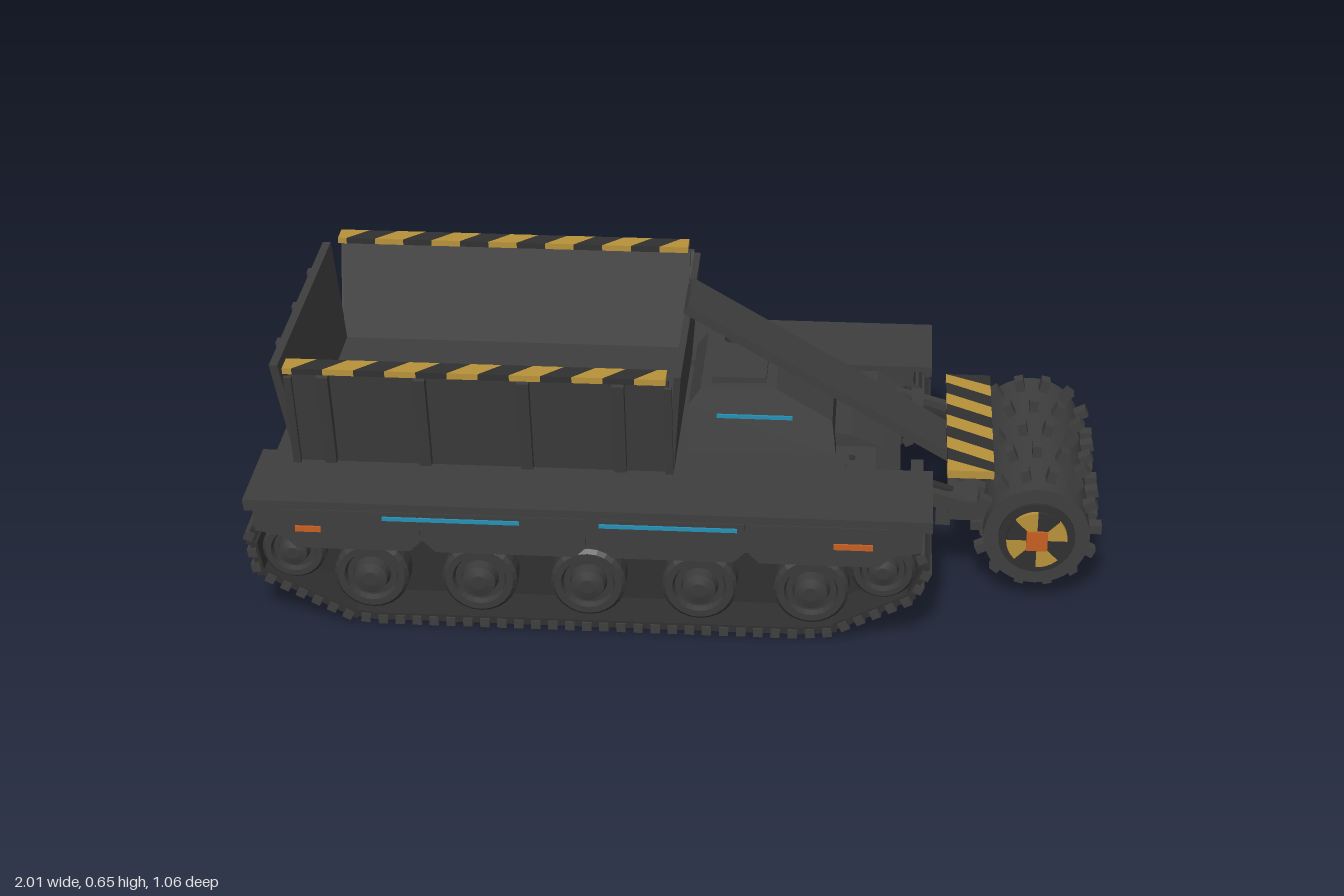
import * as THREE from 'three';

const mat = (name, color, extra = {}) => Object.assign(new THREE.MeshStandardMaterial({ color, ...extra }), { name });

export function createModel() {
  const model = new THREE.Group();
  model.name = 'trackedHauler';
  const body = mat('charcoal body', 0x3e3e3e), dark = mat('dark steel', 0x303030);
  const yellow = mat('hazard yellow', 0xb8923a), orange = mat('orange lights', 0xc85f22);
  const cyan = mat('cyan strips', 0x2590b5);

  const add = (name, geo, material, x = 0, y = 0, z = 0, parent = model) => {
    const m = new THREE.Mesh(geo, material);
    m.name = name;
    m.position.set(x, y, z);
    parent.add(m);
    return m;
  };
  const box = (name, material, w, h, d, x, y, z, parent) =>
    add(name, new THREE.BoxGeometry(w, h, d), material, x, y, z, parent);
  const shapeOf = pts => new THREE.Shape(pts.map(p => new THREE.Vector2(...p)));
  // side profile in x/y, extruded symmetrically about z = 0
  const extrude = (pts, depth) =>
    new THREE.ExtrudeGeometry(shapeOf(pts), { depth, bevelEnabled: false }).translate(0, 0, -depth / 2);
  // move every vertex by a rule
  const warp = (geo, rule) => {
    const p = geo.attributes.position, v = new THREE.Vector3();
    for (let i = 0; i < p.count; i++) {
      rule(v.fromBufferAttribute(p, i));
      p.setXYZ(i, v.x, v.y, v.z);
    }
    geo.computeVertexNormals();
    return geo;
  };
  // bar of alternating slanted stripes, lying flat with its length along x
  const hazardBar = (name, length, width, thick, count, skew) => {
    const g = new THREE.Group();
    g.name = name;
    const clamp = x => Math.max(-length / 2, Math.min(length / 2, x));
    const step = (length + skew) / count;
    for (let i = 0; i < count; i++) {
      const a = -length / 2 - skew / 2 + i * step, b = a + step, k = skew / 2, w = width / 2;
      const geo = extrude([[clamp(a - k), -w], [clamp(b - k), -w], [clamp(b + k), w], [clamp(a + k), w]], thick);
      add('stripe', geo.rotateX(-Math.PI / 2), i % 2 ? dark : yellow, 0, 0, 0, g);
    }
    model.add(g);
    return g;
  };

  // Hull between the tracks
  add('hull', extrude([[-0.95, 0.315], [-0.95, 0.2], [-0.84, 0.1], [0.38, 0.1], [0.52, 0.2], [0.52, 0.28], [0.46, 0.315]], 0.58), body);
  box('rearPlate', body, 0.03, 0.08, 0.5, -0.96, 0.26, 0);

  // Track loop and wheel outlines
  const corners = [[-0.95, 0.27], [-0.985, 0.22], [-0.97, 0.13], [-0.76, 0.025], [-0.7, 0.018], [0.3, 0.018],
    [0.36, 0.025], [0.55, 0.12], [0.58, 0.19], [0.55, 0.26], [0.48, 0.275], [-0.9, 0.275]];
  const path = new THREE.CurvePath();
  corners.forEach((c, i) => path.add(new THREE.LineCurve(new THREE.Vector2(...c),
    new THREE.Vector2(...corners[(i + 1) % corners.length]))));
  const links = 84, pitch = path.getLength() / links;
  const linkGeo = new THREE.BoxGeometry(pitch * 1.15, 0.018, 0.2);
  const cleatGeo = new THREE.BoxGeometry(pitch * 0.55, 0.022, 0.21);
  const wheelGeo = r => new THREE.LatheGeometry([[0, 0], [r, 0], [r, 0.12], [r * 0.9, 0.13], [r * 0.72, 0.13],
    [r * 0.66, 0.115], [r * 0.5, 0.115], [r * 0.44, 0.14], [r * 0.2, 0.145], [0, 0.145]]
    .map(p => new THREE.Vector2(...p)), 24);
  const roadWheel = wheelGeo(0.088), endWheel = wheelGeo(0.075);
  [roadWheel, endWheel].forEach((g, i) => { g.name = i ? 'end wheel' : 'road wheel'; });
  const wheelMat = mat('wheel steel', 0x3a3a3a, { flatShading: true });

  for (const s of [1, -1]) {
    const track = new THREE.Group();
    track.name = s > 0 ? 'leftTrack' : 'rightTrack';
    model.add(track);
    for (let i = 0; i < links; i++) {
      const u = (i + 0.5) / links, p = path.getPointAt(u), t = path.getTangentAt(u);
      const a = Math.atan2(t.y, t.x);
      add('trackLink', linkGeo, dark, p.x, p.y, s * 0.4, track).rotation.z = a;
      // cleats stand on the outside of the loop
      add('trackCleat', cleatGeo, body, p.x + t.y * 0.007, p.y - t.x * 0.007, s * 0.4, track).rotation.z = a;
    }
    add('trackFrame', extrude([[-0.93, 0.26], [-0.94, 0.15], [-0.74, 0.05], [0.34, 0.05], [0.53, 0.14], [0.53, 0.26]], 0.13),
      dark, 0, 0, s * 0.365, track);
    for (const x of [-0.71, -0.455, -0.2, 0.06, 0.32])
      add('roadWheel', roadWheel, wheelMat, x, 0.12, s * 0.36, track).rotation.x = s * Math.PI / 2;
    for (const x of [-0.89, 0.485])
      add('endWheel', endWheel, wheelMat, x, 0.182, s * 0.36, track).rotation.x = s * Math.PI / 2;

    // Fender with skirt panels and drop-down ends
    box('fender', body, 1.59, 0.014, 0.25, -0.2, 0.325, s * 0.4);
    box('fenderInnerLip', body, 1.5, 0.05, 0.012, -0.2, 0.3, s * 0.285);
    add('skirt', extrude([[-0.975, 0.32], [-0.97, 0.25], [-0.9, 0.235], [0.5, 0.235], [0.57, 0.25], [0.575, 0.32]], 0.014),
      body, 0, 0, s * 0.514);
    for (const [a, b] of [[-0.9, -0.585], [-0.575, -0.2], [-0.165, 0.165], [0.175, 0.5]])
      add('skirtPanel', extrude([[a, 0.31], [a, 0.235], [a + 0.025, 0.21], [b - 0.025, 0.21], [b, 0.235], [b, 0.31]], 0.012),
        body, 0, 0, s * 0.518);
    for (const x of [-0.985, 0.585])
      box('fenderEnd', body, 0.02, 0.03, 0.235, x, 0.315, s * 0.4);
    for (const x of [-0.512, -0.01])
      box('skirtLightStrip', cyan, 0.318, 0.009, 0.006, x, 0.295, s * 0.526);
    box('rearMarker', orange, 0.06, 0.014, 0.006, -0.845, 0.262, s * 0.526);
    box('frontMarker', orange, 0.09, 0.014, 0.006, 0.415, 0.262, s * 0.526);

    // Tail lamps
    box('tailBracket', body, 0.05, 0.05, 0.045, -0.965, 0.19, s * 0.16);
    box('tailLamp', orange, 0.02, 0.035, 0.045, -0.985, 0.15, s * 0.16);
  }

  // Hopper: floor, flared walls, ribs and striped rails
  box('hopperFloor', body, 0.88, 0.03, 0.64, -0.46, 0.335, 0);
  for (const s of [1, -1]) {
    const flare = v => { v.z += s * v.y * 0.19; };
    add('hopperSide', warp(new THREE.BoxGeometry(0.88, 0.265, 0.014), flare), body, -0.46, 0.462, s * 0.338);
    for (const x of [-0.82, -0.595, -0.355, -0.135])
      add('hopperRib', warp(new THREE.BoxGeometry(0.028, 0.25, 0.024), v => { v.z += s * v.y * 0.22; }), body, x, 0.462, s * 0.357);
    for (const x of [-0.9, -0.02])
      add('hopperCornerPost', warp(new THREE.BoxGeometry(0.018, 0.25, 0.012), v => { v.z += s * v.y * 0.22; }), body, x, 0.46, s * 0.362);
    hazardBar('hopperRail', 0.885, 0.052, 0.015, 13, 0.05).position.set(-0.467, 0.603, s * 0.372);
  }
  const endWall = (name, x, lean, thick) =>
    add(name, warp(new THREE.BoxGeometry(thick, 0.265, 1), v => {
      v.z *= 0.665 + v.y * 0.3;
      v.x += v.y * lean;
    }), body, x, 0.462, 0);
  endWall('hopperRearWall', -0.92, -0.15, 0.02);
  endWall('hopperFrontWall', -0.01, 0.07, 0.016);
  for (const z of [-0.2, 0, 0.2])
    add('rearWallRib', warp(new THREE.BoxGeometry(0.016, 0.25, 0.028), v => { v.x -= v.y * 0.15; }), body, -0.935, 0.46, z);

  // Low cab with tapered sides
  add('cab', warp(extrude([[0.01, 0.315], [0.012, 0.43], [0.04, 0.47], [0.22, 0.475], [0.355, 0.4], [0.365, 0.315]], 0.36),
    v => { v.z *= 1 - (v.y - 0.315) * 0.85; }), body);
  box('cabRoofHatch', body, 0.13, 0.02, 0.25, 0.13, 0.477, 0);
  add('cabNose', extrude([[0.3, 0.31], [0.3, 0.36], [0.4, 0.345], [0.48, 0.31]], 0.26), body);
  for (const s of [1, -1])
    add('cabLightStrip', new THREE.BoxGeometry(0.18, 0.009, 0.006), cyan, 0.17, 0.405, s * 0.168);
  add('beaconBase', new THREE.CylinderGeometry(0.022, 0.024, 0.012, 16), dark, 0.107, 0.488, -0.085);
  add('beacon', new THREE.CylinderGeometry(0.015, 0.018, 0.022, 16), orange, 0.107, 0.503, -0.085);
  add('beaconDome', new THREE.SphereGeometry(0.015, 16, 8, 0, Math.PI * 2, 0, Math.PI / 2), orange, 0.107, 0.513, -0.085);

  // Conveyor boom rising over the cab
  const boomLength = Math.hypot(0.64, 0.375), boomAngle = -Math.atan2(0.375, 0.64);
  box('conveyor', body, boomLength, 0.022, 0.164, 0.32, 0.453, 0).rotation.z = boomAngle;

  // Arms carrying the drum
  for (const s of [1, -1]) {
    const arm = box('drumArm', body, 0.36, 0.035, 0.028, 0.56, 0.255, s * 0.24);
    arm.rotation.z = -0.27;
    box('armRam', dark, 0.26, 0.022, 0.022, 0.52, 0.27, s * 0.19).rotation.z = -0.3;
    box('armBracket', body, 0.03, 0.05, 0.1, 0.56, 0.265, s * 0.19);
    box('armFoot', body, 0.035, 0.06, 0.03, 0.625, 0.18, s * 0.19);
  }
  box('armCrossbeam', body, 0.07, 0.05, 0.5, 0.67, 0.215, 0);
  box('shieldMount', body, 0.02, 0.09, 0.3, 0.665, 0.265, 0);

  // Striped shield behind the drum
  const shield = hazardBar('drumShield', 0.51, 0.11, 0.02, 10, 0.07);
  shield.rotation.y = Math.PI / 2;
  shield.position.set(0.685, 0.315, 0);

  // Toothed drum
  const drum = new THREE.Group();
  drum.name = 'cuttingDrum';
  drum.position.set(0.845, 0.177, 0);
  model.add(drum);
  add('drumCore', new THREE.CylinderGeometry(0.125, 0.125, 0.59, 40).rotateX(Math.PI / 2), body, 0, 0, 0, drum);
  const toothGeo = new THREE.BoxGeometry(0.034, 0.022, 0.032), teeth = 14;
  for (let row = -2; row <= 2; row++)
    for (let i = 0; i < teeth; i++) {
      const a = (i + (row & 1) / 2) / teeth * Math.PI * 2;
      add('drumTooth', toothGeo, body, Math.cos(a) * 0.138, Math.sin(a) * 0.138, row * 0.119, drum).rotation.z = a;
    }
  for (const s of [1, -1]) {
    add('hubPlate', new THREE.CylinderGeometry(0.09, 0.09, 0.012, 32).rotateX(Math.PI / 2), dark, 0, 0, s * 0.298, drum);
    // alternating hub sectors
    for (let i = 0; i < 8; i++)
      add('hubSector', new THREE.CylinderGeometry(0.072, 0.072, 0.016, 6, 1, false, i * Math.PI / 4, Math.PI / 4)
        .rotateX(Math.PI / 2), i % 2 ? dark : yellow, 0, 0, s * 0.307, drum);
    box('hubCap', orange, 0.05, 0.05, 0.01, 0, 0, s * 0.316, drum);
  }
  return model;
}
